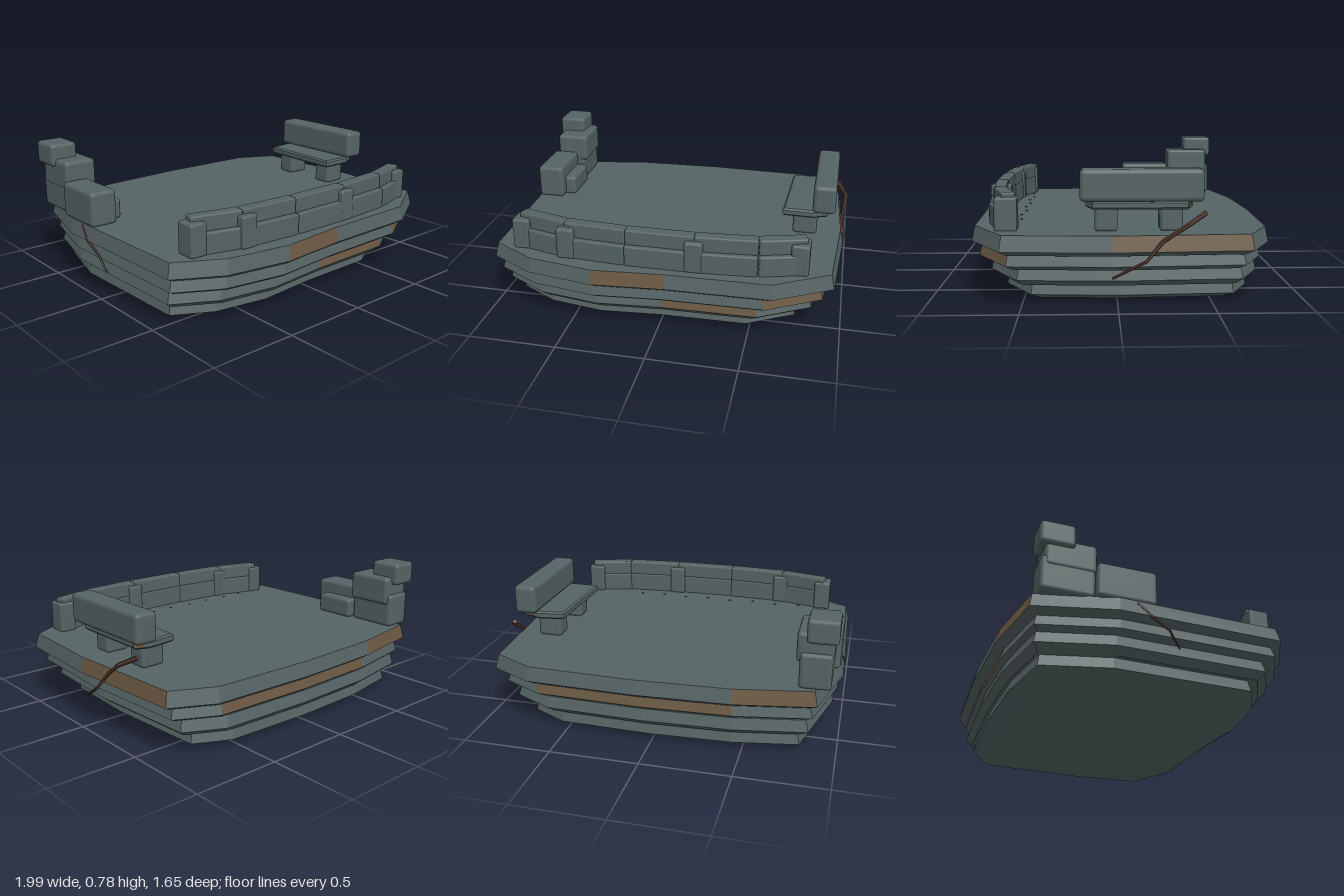
import * as THREE from 'three';
import { RoundedBoxGeometry } from 'three/addons/geometries/RoundedBoxGeometry.js';

const mat = (name, color, flat = false) => {
  const m = new THREE.MeshStandardMaterial({ color, flatShading: flat });
  m.name = name;
  return m;
};

// Irregular plan of the platform (x, z), running from +x towards +z
const outline = [
  [0.98, 0.03], [0.95, 0.6], [0.64, 0.78], [0.06, 0.79], [-0.35, 0.825], [-0.72, 0.765], [-0.98, 0.62],
  [-1.0, -0.3], [-0.89, -0.735], [-0.46, -0.81], [0.08, -0.83], [0.7, -0.81], [0.94, -0.69],
];

// One stone tier: top face, near-vertical wall, bevelled underside; listed wall segments are earth coloured
function tierGeometry({ y, scale, shift, under, earth }) {
  const rings = [[scale * under, y[0]], [scale, y[1]], [scale * 0.98, y[2]]].map(([s, h]) =>
    outline.map(([x, z]) => [x * s + shift[0], h, z * s + shift[1]]));
  const n = outline.length, stone = [], painted = [];
  for (let i = 0; i < n; i++) {
    const j = (i + 1) % n;
    for (let r = 0; r < 2; r++) {
      const [lo, hi] = [rings[r], rings[r + 1]];
      const out = r === 1 && earth.includes(i) ? painted : stone;
      out.push(...lo[i], ...hi[i], ...hi[j], ...lo[i], ...hi[j], ...lo[j]);
    }
    stone.push(shift[0], y[2], shift[1], ...rings[2][j], ...rings[2][i]);
    stone.push(shift[0], y[0], shift[1], ...rings[0][i], ...rings[0][j]);
  }
  const g = new THREE.BufferGeometry();
  g.setAttribute('position', new THREE.Float32BufferAttribute([...stone, ...painted], 3));
  g.addGroup(0, stone.length / 3, 0);
  g.addGroup(stone.length / 3, painted.length / 3, 1);
  g.computeVertexNormals();
  return g;
}

// Tapering angular root that follows straight pieces between points
function rootGeometry(points, r0, r1) {
  const sides = 6, pos = [], index = [];
  const pts = points.map((p) => new THREE.Vector3(...p));
  pts.forEach((p, i) => {
    const dir = pts[Math.min(i + 1, pts.length - 1)].clone().sub(pts[Math.max(i - 1, 0)]).normalize();
    const u = new THREE.Vector3(1, 0, 0).cross(dir).normalize();
    const v = dir.clone().cross(u);
    const r = THREE.MathUtils.lerp(r0, r1, i / (pts.length - 1));
    for (let k = 0; k < sides; k++) {
      const a = (k / sides) * Math.PI * 2;
      const q = p.clone().addScaledVector(u, Math.cos(a) * r).addScaledVector(v, Math.sin(a) * r);
      pos.push(q.x, q.y, q.z);
      if (i > 0) {
        const l = (k + 1) % sides, b = (i - 1) * sides, t = i * sides;
        index.push(b + k, b + l, t + k, b + l, t + l, t + k);
      }
    }
  });
  const last = (pts.length - 1) * sides;
  for (let k = 1; k < sides - 1; k++) index.push(0, k + 1, k, last, last + k, last + k + 1);
  const g = new THREE.BufferGeometry();
  g.setAttribute('position', new THREE.Float32BufferAttribute(pos, 3));
  g.setIndex(index);
  g.computeVertexNormals();
  return g;
}

export function createModel() {
  const model = new THREE.Group();
  model.name = 'ruinedTerrace';
  const tierStone = mat('tierStone', 0x566364, true);
  const blockStone = mat('blockStone', 0x566364);
  const earth = mat('earth', 0x6a5843, true);
  const rootBrown = mat('rootBrown', 0x543a30, true);
  const add = (name, geo, material, parent = model) => {
    const m = new THREE.Mesh(geo, material);
    m.name = name;
    parent.add(m);
    return m;
  };
  // Rounded stone block given by its min and max corners
  const block = (name, a, b, parent, r = 0.022) => {
    const s = a.map((v, i) => b[i] - v);
    const m = add(name, new RoundedBoxGeometry(...s, 3, Math.min(r, ...s.map((v) => v * 0.45))), blockStone, parent);
    m.position.set(...a.map((v, i) => (v + b[i]) / 2));
    return m;
  };
  const group = (name) => {
    const g = new THREE.Group();
    g.name = name;
    model.add(g);
    return g;
  };

  // Stepped platform, widening upwards
  const tiers = [
    { y: [0, 0.035, 0.108], scale: 0.84, shift: [-0.055, -0.045], under: 0.91, earth: [] },
    { y: [0.1, 0.135, 0.2], scale: 0.915, shift: [-0.035, -0.025], under: 0.95, earth: [2] },
    { y: [0.195, 0.222, 0.288], scale: 0.957, shift: [-0.015, 0], under: 0.95, earth: [1, 9, 10] },
    { y: [0.28, 0.308, 0.39], scale: 1, shift: [0, 0], under: 0.95, earth: [3, 8, 12] },
  ];
  tiers.forEach((t, i) => add(`platformTier${i + 1}`, tierGeometry(t), [tierStone, earth]));

  // Curved front parapet: a wide lower course and a narrower upper one
  const parapet = group('frontParapet');
  const path = [[-0.81, 0.575], [-0.53, 0.648], [-0.18, 0.672], [0.2, 0.672], [0.54, 0.648], [0.79, 0.575]];
  for (let i = 0; i < path.length - 1; i++) {
    const [x0, z0] = path[i], [x1, z1] = path[i + 1];
    const dx = x1 - x0, dz = z1 - z0, len = Math.hypot(dx, dz);
    [['lowerCourse', 0.385, 0.505, 0.1, 0], ['upperCourse', 0.5, 0.59, 0.07, -0.012]].forEach(([name, lo, hi, w, off]) => {
      const m = block(name, [-len / 2, lo, -w / 2], [len / 2, hi, w / 2], parapet, 0.01);
      m.position.x = (x0 + x1) / 2;
      m.position.z = (z0 + z1) / 2 + off;
      m.rotation.y = -Math.atan2(dz, dx);
    });
  }
  [[-0.8, 0.585], [-0.52, 0.65], [0.2, 0.665], [0.76, 0.58]].forEach(([x, z]) =>
    block('parapetPost', [x - 0.05, 0.385, z - 0.06], [x + 0.05, 0.565, z + 0.06], parapet, 0.015));

  // Stone bench on the +x side
  const bench = group('bench');
  const seatShape = new THREE.Shape([[0.62, 0.16], [0.64, -0.37], [0.8, -0.39], [0.88, -0.36], [0.88, 0.13], [0.8, 0.165]]
    .map(([x, z]) => new THREE.Vector2(x, -z)));
  const seat = add('benchSeat', new THREE.ExtrudeGeometry(seatShape, {
    depth: 0.025, bevelThickness: 0.01, bevelSize: 0.01, bevelOffset: -0.01, bevelSegments: 1,
  }), tierStone, bench);
  seat.rotation.x = -Math.PI / 2;
  seat.position.y = 0.52;
  block('benchBackrest', [0.79, 0.553, -0.435], [0.92, 0.72, 0.195], bench, 0.025);
  [0.06, -0.278].forEach((z) => block('benchLeg', [0.68, 0.385, z - 0.06], [0.82, 0.52, z + 0.06], bench, 0.02));
  const patch = add('seatEarthPatch', new THREE.BoxGeometry(0.005, 0.025, 0.06), earth, bench);
  patch.position.set(0.862, 0.533, -0.368);
  patch.rotation.y = 1.2;

  // Broken wall and pile of blocks on the -x side
  const ruin = group('brokenWall');
  [
    ['wallBlock', [-0.98, 0.385, -0.41], [-0.82, 0.585, -0.085]],
    ['rearWallBlock', [-0.95, 0.385, -0.7], [-0.78, 0.585, -0.41]],
    ['stepBlock', [-0.9, 0.385, -0.4], [-0.755, 0.505, -0.145]],
    ['middleBlock', [-0.955, 0.525, -0.68], [-0.76, 0.692, -0.405]],
    ['topBlock', [-0.975, 0.645, -0.715], [-0.81, 0.778, -0.525]],
  ].forEach(([name, a, b]) => block(name, a, b, ruin));

  // Roots hanging over both sides
  add('rightRoot', rootGeometry([[0.925, 0.5, -0.44], [0.98, 0.45, -0.35], [0.965, 0.36, -0.22],
    [0.985, 0.265, -0.14], [0.94, 0.168, 0.03]], 0.014, 0.007), rootBrown);
  add('leftRoot', rootGeometry([[-0.975, 0.38, -0.2], [-0.992, 0.31, -0.13], [-0.985, 0.25, -0.03],
    [-0.97, 0.16, 0.03]], 0.01, 0.005), rootBrown);

  // Small dark specks on the floor behind the parapet
  for (let i = 0; i < 8; i++) {
    const s = add('floorSpeck', new THREE.BoxGeometry(0.014, 0.006, 0.008), rootBrown);
    s.position.set(-0.65 + i * 0.154, 0.391, i % 2 ? 0.53 : 0.545);
    s.rotation.y = 0.7;
  }
  return model;
}
